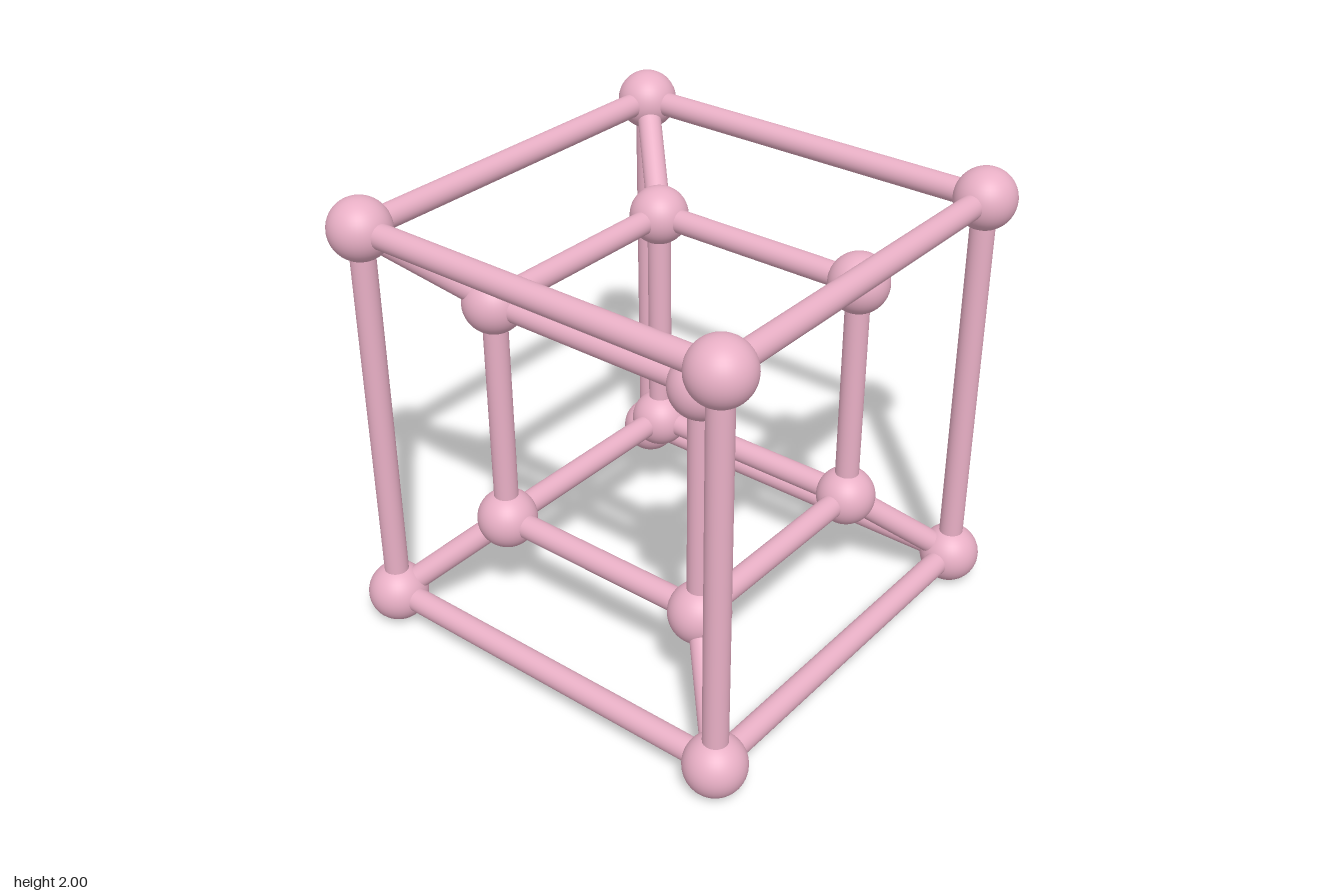
import * as THREE from 'three';

const OUTER = 0.87, INNER = 0.522, BALL = 0.13, ROD = 0.052;

export function createModel() {
  const model = new THREE.Group();
  model.name = 'nestedCubeFrame';
  const material = new THREE.MeshStandardMaterial({ color: 0xe8afc5 });
  const ballGeometry = new THREE.SphereGeometry(BALL, 40, 24);
  const up = new THREE.Vector3(0, 1, 0);

  // Corner number bits choose the sign of x, y and z
  const corner = (i, half) => new THREE.Vector3(
    i & 1 ? half : -half,
    1 + (i & 2 ? half : -half),
    i & 4 ? half : -half
  );

  function addRod(parent, name, a, b) {
    const dir = b.clone().sub(a);
    const rod = new THREE.Mesh(new THREE.CylinderGeometry(ROD, ROD, dir.length(), 32), material);
    rod.name = name;
    rod.position.copy(a).add(b).multiplyScalar(0.5);
    rod.quaternion.setFromUnitVectors(up, dir.normalize());
    parent.add(rod);
  }

  // Outer and inner cubes: eight balls and twelve edge rods each
  for (const [name, half] of [['outer', OUTER], ['inner', INNER]]) {
    const cube = new THREE.Group();
    cube.name = name + 'Cube';
    for (let i = 0; i < 8; i++) {
      const ball = new THREE.Mesh(ballGeometry, material);
      ball.name = name + 'CornerBall';
      ball.position.copy(corner(i, half));
      cube.add(ball);
      for (const bit of [1, 2, 4]) {
        if (!(i & bit)) addRod(cube, name + 'EdgeRod', corner(i, half), corner(i | bit, half));
      }
    }
    model.add(cube);
  }

  // Diagonal rods joining matching corners
  const links = new THREE.Group();
  links.name = 'diagonalLinks';
  for (let i = 0; i < 8; i++) addRod(links, 'diagonalRod', corner(i, INNER), corner(i, OUTER));
  model.add(links);

  return model;
}
